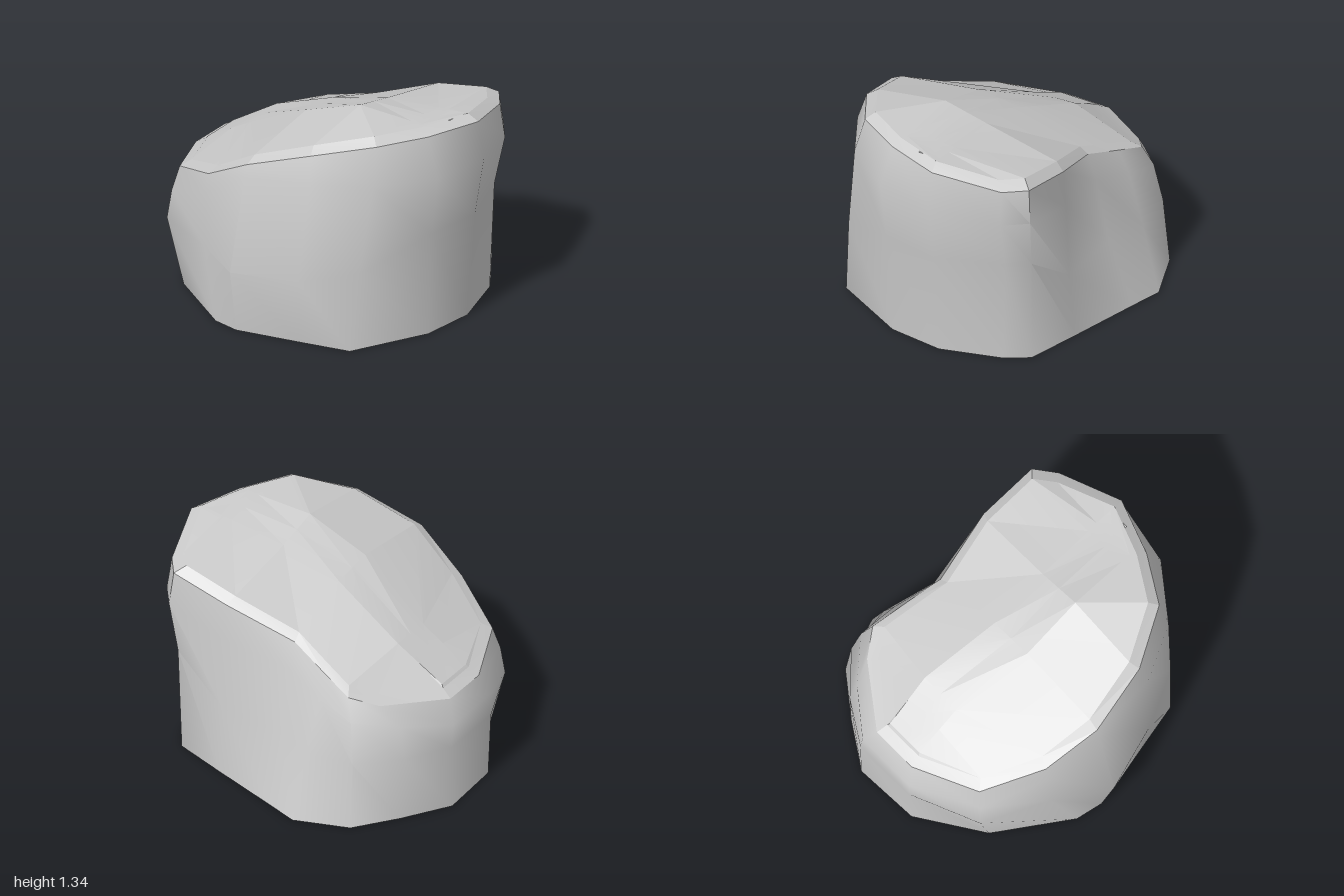
import * as THREE from 'three';
import { toCreasedNormals } from 'three/addons/utils/BufferGeometryUtils.js';

// Cross-sections of the boulder, clockwise from its low side: [x, z, y]
const rim = [
  [-0.94, -0.21, 0.7], [-0.68, -0.57, 0.75], [-0.53, -0.68, 0.815], [-0.33, -0.635, 0.89],
  [-0.08, -0.575, 0.985], [0.35, -0.66, 1.135], [0.73, -0.65, 1.215], [0.83, -0.52, 1.215],
  [0.96, -0.12, 1.295], [0.84, 0.22, 1.295], [0.67, 0.51, 1.295], [0.33, 0.7, 1.215],
  [-0.08, 0.77, 1.07], [-0.42, 0.69, 0.88], [-0.77, 0.49, 0.75], [-0.94, 0.09, 0.7],
];
const shoulder = [
  [-1, -0.27, 0.57], [-0.8, -0.53, 0.62], [-0.58, -0.73, 0.68], [-0.34, -0.7, 0.75],
  [-0.08, -0.63, 0.82], [0.35, -0.68, 0.9], [0.75, -0.67, 1], [0.86, -0.53, 1],
  [1, -0.12, 1.06], [0.93, 0.25, 1.06], [0.69, 0.57, 1.06], [0.36, 0.745, 1.05],
  [-0.08, 0.795, 1], [-0.43, 0.71, 0.76], [-0.8, 0.53, 0.6], [-1, 0.13, 0.57],
];
const belly = [
  [-1, -0.29], [-0.84, -0.55], [-0.62, -0.77], [-0.32, -0.81],
  [-0.08, -0.72], [0.35, -0.7], [0.7, -0.65, 0.68], [0.79, -0.52, 0.68],
  [0.935, -0.12, 0.68], [0.88, 0.24, 0.68], [0.64, 0.64, 0.5], [0.31, 0.8],
  [-0.09, 0.93], [-0.42, 0.73], [-0.82, 0.55], [-1, 0.13],
].map(([x, z, y = 0.42]) => [x, z, y]);
const base = [
  [-1, -0.28], [-0.82, -0.56], [-0.63, -0.81], [-0.3, -0.93],
  [-0.1, -0.87], [0.35, -0.74], [0.68, -0.64], [0.77, -0.5],
  [0.88, -0.12], [0.84, 0.22], [0.6, 0.68], [0.3, 0.75],
  [-0.11, 0.84], [-0.28, 0.81], [-0.72, 0.52], [-0.98, 0.13],
].map(([x, z]) => [x, z, 0]);

// The two ridge lines across the sloping top: [x, z, y]
const backRidge = [[-0.88, -0.18, 0.745], [-0.56, -0.2, 0.945], [-0.08, -0.11, 1.16], [0.31, -0.11, 1.27], [0.9, -0.11, 1.335]];
const frontRidge = [[-0.88, 0.07, 0.745], [-0.56, 0.07, 0.93], [-0.08, 0.17, 1.19], [0.31, 0.17, 1.335], [0.9, 0.17, 1.335]];

function pointOn(line, x) {
  const i = line.findIndex((p) => x <= p[0]);
  const t = (x - line[i - 1][0]) / (line[i][0] - line[i - 1][0]);
  return line[i].map((v, k) => THREE.MathUtils.lerp(line[i - 1][k], v, t));
}

// Ring along both ridges, and the middle line that closes it
const stations = [-0.86, -0.7, -0.56, -0.3, -0.08, 0.31, 0.68, 0.75, 0.86, 0.75, 0.68, 0.31, -0.08, -0.56, -0.7, -0.86];
const ridgeRing = stations.map((x, i) => pointOn(i < 9 ? backRidge : frontRidge, x));
const middleLine = stations.map((x) => {
  const front = pointOn(frontRidge, x);
  return pointOn(backRidge, x).map((v, k) => (v + front[k]) / 2);
});

// Bevelled border just inside the rim
const border = rim.map(([x, z, y]) => [x * 0.93, z * 0.91, y + 0.04]);

// Joins closed rings, each listed outside-in or bottom-up
function loft(rings) {
  const n = rings[0].length, index = [];
  const points = rings.flat().flatMap(([x, z, y]) => [x, y, z]);
  for (let r = 0; r < rings.length - 1; r++) {
    for (let i = 0; i < n; i++) {
      const j = (i + 1) % n, a = r * n + i, b = r * n + j;
      index.push(a, a + n, b + n, a, b + n, b);
    }
  }
  const geometry = new THREE.BufferGeometry();
  geometry.setAttribute('position', new THREE.Float32BufferAttribute(points, 3));
  geometry.setIndex(index);
  geometry.computeVertexNormals();
  return geometry;
}

export function createModel() {
  const group = new THREE.Group();
  group.name = 'boulder';
  const add = (name, geometry) => {
    const material = new THREE.MeshStandardMaterial({ color: 0xcccccc, side: THREE.DoubleSide });
    const mesh = new THREE.Mesh(geometry, material);
    mesh.name = name;
    group.add(mesh);
  };

  // Rough side wall, open underneath
  add('sideWall', toCreasedNormals(loft([base, belly, shoulder, rim]), 0.9));

  // Sloping top: bevel, flanks and the strip between the ridges
  add('slopingTop', toCreasedNormals(loft([rim, border, ridgeRing, middleLine]), 0.12));

  return group;
}
